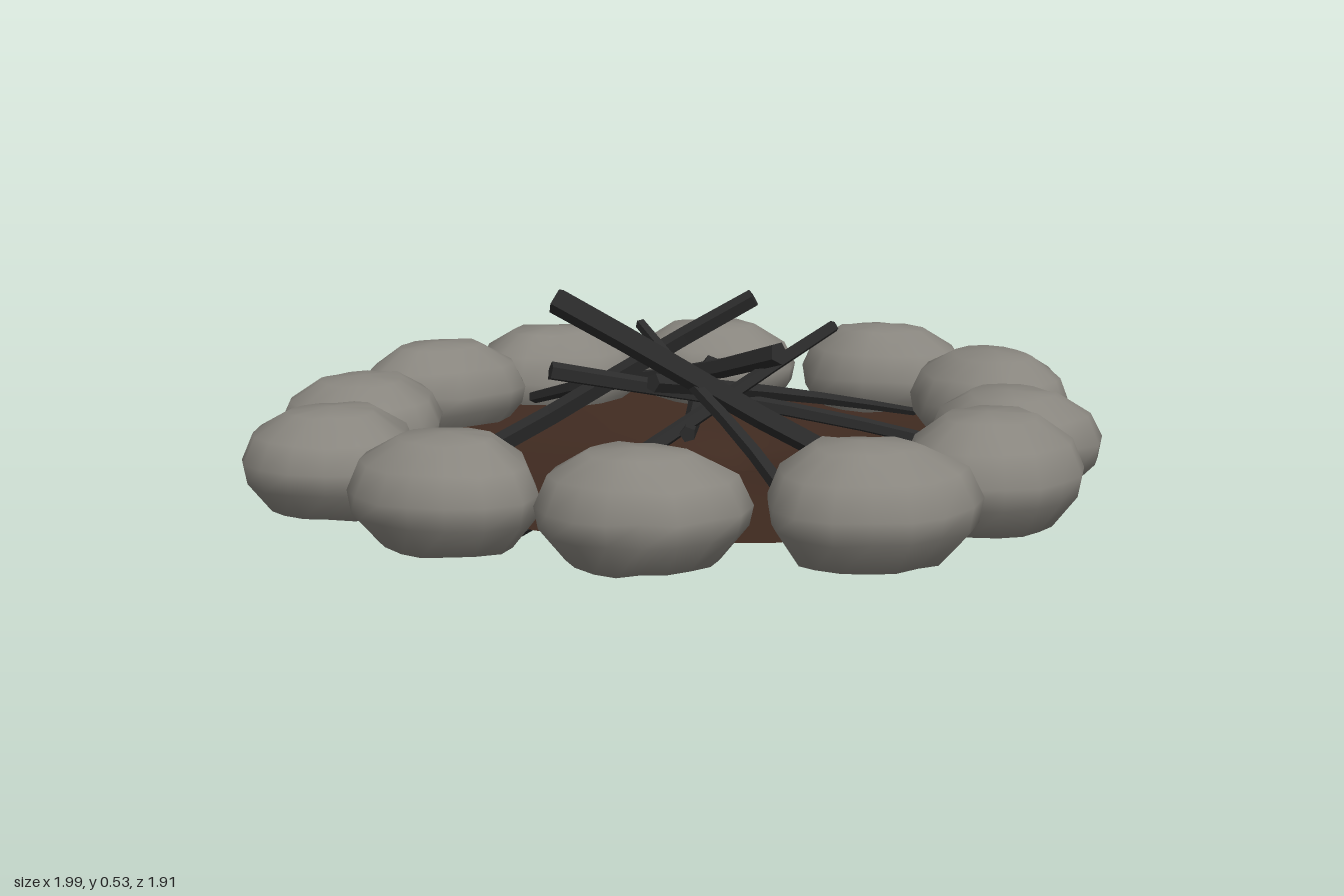
import * as THREE from 'three';
import { mergeVertices } from 'three/addons/utils/BufferGeometryUtils.js';

const stoneMat = new THREE.MeshStandardMaterial({ color: 0x89867f });
stoneMat.name = 'grey stone';
const dirtMat = new THREE.MeshStandardMaterial({ color: 0x3f2a20, side: THREE.DoubleSide });
dirtMat.name = 'brown dirt';
const charMat = new THREE.MeshStandardMaterial({ color: 0x2b2b2b, flatShading: true });
charMat.name = 'charred wood';

let seed = 7;
const rand = () => (seed = (seed * 16807) % 2147483647) / 2147483647;

// Skin a list of rings (each a list of Vector3), from bottom to top
function loft(rings) {
  const n = rings[0].length;
  const pos = rings.flat().flatMap((p) => [p.x, p.y, p.z]);
  const index = [];
  for (let i = 0; i < rings.length - 1; i++) {
    for (let j = 0; j < n; j++) {
      const k = (j + 1) % n;
      const a = i * n + j, b = i * n + k, c = a + n, d = b + n;
      index.push(a, c, b, b, c, d);
    }
  }
  const geo = new THREE.BufferGeometry();
  geo.setAttribute('position', new THREE.Float32BufferAttribute(pos, 3));
  geo.setIndex(index);
  const merged = mergeVertices(geo, 1e-4);
  merged.computeVertexNormals();
  return merged;
}

// Boulder with an irregular outline: eight radii, in hundredths, from +x towards +z
function stone(x, z, bottom, top, ...radii) {
  const profile = [[0, 0], [0.7, 0.02], [0.96, 0.3], [1, 0.5], [0.87, 0.76], [0.5, 0.96], [0, 1]];
  // A softened corner between each pair of radii fills out the silhouette
  const outline = radii.flatMap((r, i) => [r, (r + radii[(i + 1) % radii.length]) * 0.505]);
  const rings = profile.map(([r, h]) => outline.map((radius, j) => {
    const a = (j / outline.length) * Math.PI * 2;
    const lift = r === 0 ? 0 : (rand() - 0.5) * 0.008;
    const reach = r * radius * 0.0102;
    return new THREE.Vector3(Math.cos(a) * reach, bottom + (top - bottom) * h + lift, Math.sin(a) * reach);
  }));
  const mesh = new THREE.Mesh(loft(rings), stoneMat);
  mesh.position.set(x, 0, z);
  mesh.name = 'stone';
  return mesh;
}

// Tapered branch between two ends, with a slight bend
function stick(from, to, fromRadius, toRadius, bend) {
  const a = new THREE.Vector3(...from), b = new THREE.Vector3(...to);
  const length = a.distanceTo(b);
  const geo = new THREE.CylinderGeometry(fromRadius, toRadius, length, 5, 5);
  const p = geo.attributes.position;
  for (let i = 0; i < p.count; i++) {
    const t = p.getY(i) / length + 0.5;
    p.setX(i, p.getX(i) + bend * Math.sin(t * Math.PI));
    p.setZ(i, p.getZ(i) + bend * 0.4 * Math.sin(t * Math.PI * 2));
  }
  geo.computeVertexNormals();
  const mesh = new THREE.Mesh(geo, charMat);
  mesh.position.copy(a).add(b).multiplyScalar(0.5);
  mesh.quaternion.setFromUnitVectors(new THREE.Vector3(0, 1, 0), a.clone().sub(b).normalize());
  mesh.name = 'stick';
  return mesh;
}

export function createModel() {
  const model = new THREE.Group();
  model.name = 'campfire';

  // Ring of stones: x, z, bottom, top, then the outline radii
  const ring = new THREE.Group();
  ring.name = 'stoneRing';
  [
    [-0.09, -0.76, 0.10, 0.32, 22, 21, 17.5, 18, 21, 17, 16.5, 19],
    [0.30, -0.76, 0.07, 0.31, 20, 22, 19, 16.5, 21, 19, 20, 18],
    [0.60, -0.47, 0.10, 0.32, 18, 21, 20, 17, 18, 20, 21, 18],
    [0.81, -0.08, 0.09, 0.33, 18, 20, 23, 18, 18, 19, 22, 18],
    [0.73, 0.32, 0.09, 0.32, 19, 16, 20, 22, 19, 18, 22, 23],
    [0.43, 0.57, 0.08, 0.30, 19, 21, 19, 21, 19, 16, 19, 22],
    [0.08, 0.76, 0.09, 0.33, 21, 20, 18.5, 20, 22, 17, 18, 20],
    [-0.32, 0.74, 0.09, 0.33, 20, 24, 20, 19, 20, 18, 19.5, 18],
    [-0.66, 0.46, 0.10, 0.33, 18, 22, 19, 16.5, 17.5, 20, 19, 18],
    [-0.81, 0.08, 0.10, 0.33, 18, 17, 21, 19, 18, 20, 20.5, 20],
    [-0.77, -0.33, 0.10, 0.32, 19.5, 17, 21, 19, 19, 19, 19.5, 19],
    [-0.46, -0.60, 0.10, 0.31, 20, 17, 20, 20, 20, 18.5, 18, 22],
  ].forEach((s) => ring.add(stone(...s)));
  model.add(ring);

  // Shallow dirt bed: a rim a little lower at the front, sinking to an off-centre low point
  const low = new THREE.Vector3(0.32, 0.015, -0.13);
  const bed = [1, 0.75, 0.5, 0.3, 0.12, 0].map((t) => Array.from({ length: 20 }, (_, j) => {
    const a = (j / 20) * Math.PI * 2;
    const front = Math.max(0, Math.sin(a));
    const rim = new THREE.Vector3(Math.cos(a) * 0.76, 0, Math.sin(a) * 0.76);
    const p = low.clone().lerp(rim, t);
    p.y = low.y + (0.13 - 0.025 * front) * Math.pow(t, 0.5);
    return p;
  }));
  const dirt = new THREE.Mesh(loft(bed), dirtMat);
  dirt.name = 'dirtBed';
  model.add(dirt);

  // Charred sticks leaning on each other: high end, low end, radii, bend
  const pile = new THREE.Group();
  pile.name = 'stickPile';
  [
    [[0.18, 0.48, 0.03], [-0.30, 0.02, -0.60], 0.022, 0.028, 0.012],
    [[0.01, 0.40, 0.25], [0.11, 0.17, -0.63], 0.026, 0.016, -0.02],
    [[-0.20, 0.24, 0.17], [0.48, 0.235, -0.37], 0.018, 0.024, -0.01],
    [[-0.04, 0.43, -0.12], [-0.34, 0.20, 0.56], 0.013, 0.018, 0.01],
    [[-0.25, 0.34, -0.20], [0.51, 0.13, 0.31], 0.022, 0.016, 0.012],
    [[-0.28, 0.51, -0.15], [0.07, 0.13, 0.56], 0.031, 0.024, -0.012],
    [[0.19, 0.44, 0.26], [-0.61, 0.05, -0.01], 0.014, 0.024, 0.015],
    [[-0.16, 0.33, 0.03], [0.72, 0.14, 0.10], 0.022, 0.010, 0.008],
  ].forEach((s) => pile.add(stick(...s)));
  model.add(pile);

  return model;
}
